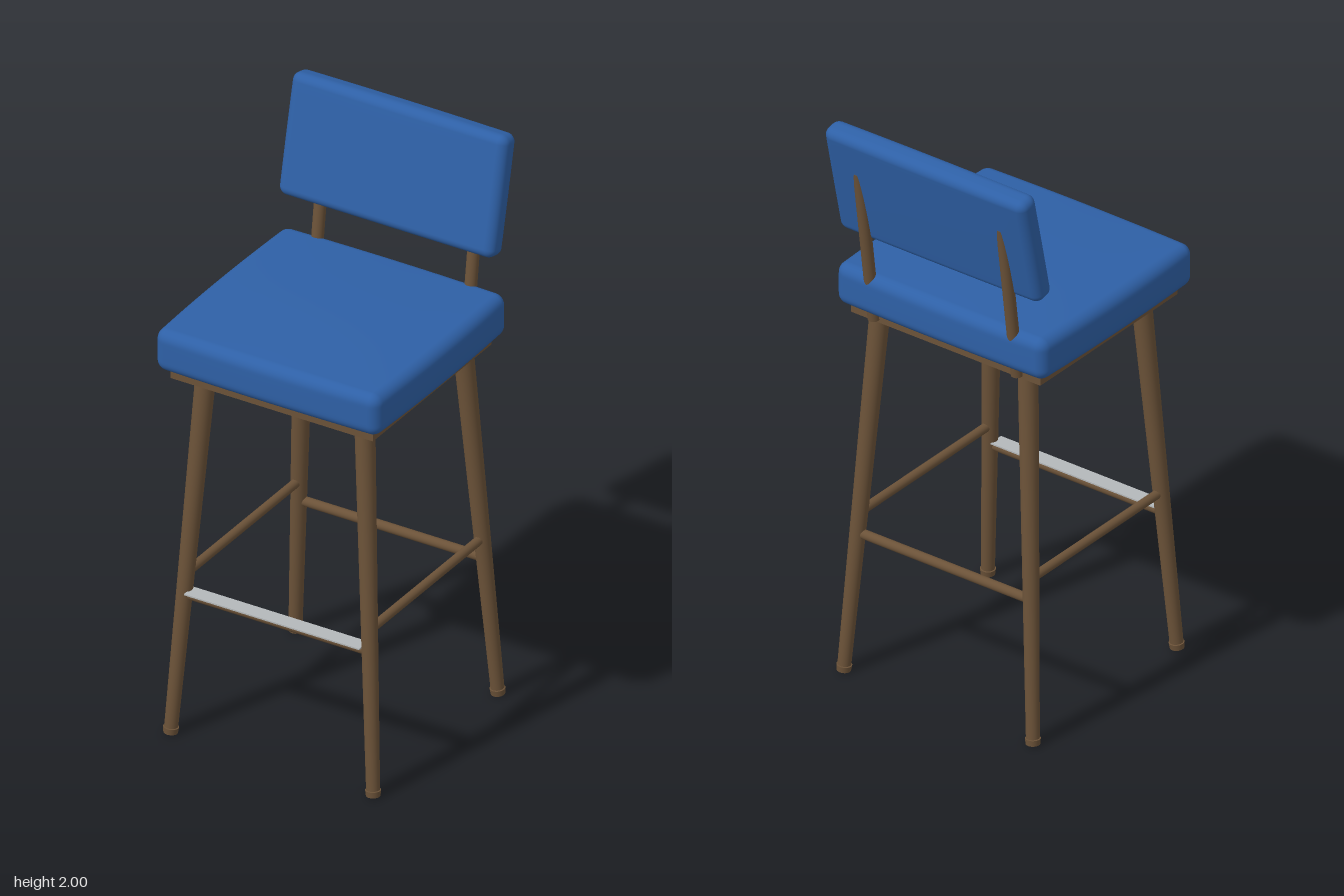
import * as THREE from 'three';
import { mergeVertices } from 'three/addons/utils/BufferGeometryUtils.js';

const wood = new THREE.MeshStandardMaterial({ color: 0x6b5238 });
wood.name = 'brown wood';
const fabric = new THREE.MeshStandardMaterial({ color: 0x2e60a6 });
fabric.name = 'blue upholstery';
const metal = new THREE.MeshStandardMaterial({ color: 0xb4b8ba });
metal.name = 'brushed metal';

// Tapered round bar between two points
function bar(name, a, b, ra, rb, material = wood) {
  const dir = b.clone().sub(a);
  const mesh = new THREE.Mesh(new THREE.CylinderGeometry(rb, ra, dir.length(), 24), material);
  mesh.position.copy(a).add(b).multiplyScalar(0.5);
  mesh.quaternion.setFromUnitVectors(new THREE.Vector3(0, 1, 0), dir.normalize());
  mesh.name = name;
  return mesh;
}

// Cushion: finely divided box with rounded edges, swollen by a rule
function cushion(name, size, r, swell) {
  const N = 20, E = 5;
  const geo = new THREE.BoxGeometry(2, 2, 2, N, N, N);
  const pos = geo.attributes.position;
  const half = size.clone().multiplyScalar(0.5);
  const spread = (u, h) => {
    const i = Math.round((u + 1) * N / 2);
    const inner = h - r;
    if (i < E) return -h + r * i / E;
    if (i > N - E) return h - r * (N - i) / E;
    return -inner + 2 * inner * (i - E) / (N - 2 * E);
  };
  const p = new THREE.Vector3(), core = new THREE.Vector3();
  const lo = half.clone().subScalar(r).negate(), hi = half.clone().subScalar(r);
  for (let i = 0; i < pos.count; i++) {
    p.set(spread(pos.getX(i), half.x), spread(pos.getY(i), half.y), spread(pos.getZ(i), half.z));
    core.copy(p).clamp(lo, hi);
    p.sub(core).setLength(r).add(core);
    const n = p.clone().divide(half);
    const fall = (a, b) => Math.max(0, 1 - a * a) * Math.max(0, 1 - b * b);
    p.x += swell.x * n.x * fall(n.y * 0.5, n.z);
    p.y += swell.y * Math.max(0, n.y) * fall(n.x, n.z);
    p.z += swell.z * n.z * fall(n.x, n.y * 0.5);
    pos.setXYZ(i, p.x, p.y, p.z);
  }
  geo.deleteAttribute('normal');
  geo.deleteAttribute('uv');
  const smooth = mergeVertices(geo, 1e-5);
  smooth.computeVertexNormals();
  const mesh = new THREE.Mesh(smooth, fabric);
  mesh.name = name;
  return mesh;
}

// Centre of a splayed leg at height y
function legAt(sx, front, y) {
  const t = y / 1.28;
  const z = front ? 0.387 - 0.08 * t : -0.35 + 0.08 * t;
  return new THREE.Vector3(sx * (0.37 - 0.08 * t), y, z);
}

export function createModel() {
  const model = new THREE.Group();
  model.name = 'barStool';

  // Legs with foot glides
  for (const sx of [-1, 1]) {
    for (const front of [true, false]) {
      const name = (front ? 'front' : 'back') + (sx > 0 ? 'Left' : 'Right');
      model.add(bar(name + 'Leg', legAt(sx, front, 0.022), legAt(sx, front, 1.285), 0.022, 0.033));
      model.add(bar(name + 'Foot', legAt(sx, front, 0), legAt(sx, front, 0.02), 0.023, 0.025));
    }
    // Side stretcher
    const side = sx > 0 ? 'left' : 'right';
    model.add(bar(side + 'Stretcher', legAt(sx, true, 0.567), legAt(sx, false, 0.567), 0.015, 0.015));

    // Leaning back post, running up into the backrest
    model.add(bar(side + 'BackPost',
      new THREE.Vector3(sx * 0.28, 1.285, -0.313),
      new THREE.Vector3(sx * 0.28, 1.85, -0.389), 0.02, 0.02));
  }

  // Front and back stretchers
  for (const front of [true, false]) {
    model.add(bar(front ? 'frontStretcher' : 'backStretcher',
      legAt(-1, front, 0.495), legAt(1, front, 0.495), 0.016, 0.016));
  }

  // Metal foot plate on the front stretcher
  const plate = new THREE.Mesh(new THREE.BoxGeometry(0.64, 0.005, 0.054), metal);
  plate.position.set(0, 0.511, 0.362);
  plate.name = 'footPlate';
  model.add(plate);

  // Board under the seat
  const board = new THREE.Mesh(new THREE.BoxGeometry(0.74, 0.036, 0.7), wood);
  board.position.set(0, 1.294, 0.038);
  board.name = 'seatBoard';
  model.add(board);

  // Seat cushion
  const seat = cushion('seat', new THREE.Vector3(0.816, 0.146, 0.775), 0.036,
    new THREE.Vector3(0.011, 0.012, 0.008));
  seat.position.set(0, 1.383, 0.039);
  model.add(seat);

  // Tilted backrest
  const back = cushion('backrest', new THREE.Vector3(0.78, 0.406, 0.08), 0.028,
    new THREE.Vector3(0.005, 0.003, 0.003));
  back.position.set(0, 1.793, -0.353);
  back.rotation.x = -0.22;
  model.add(back);

  return model;
}
